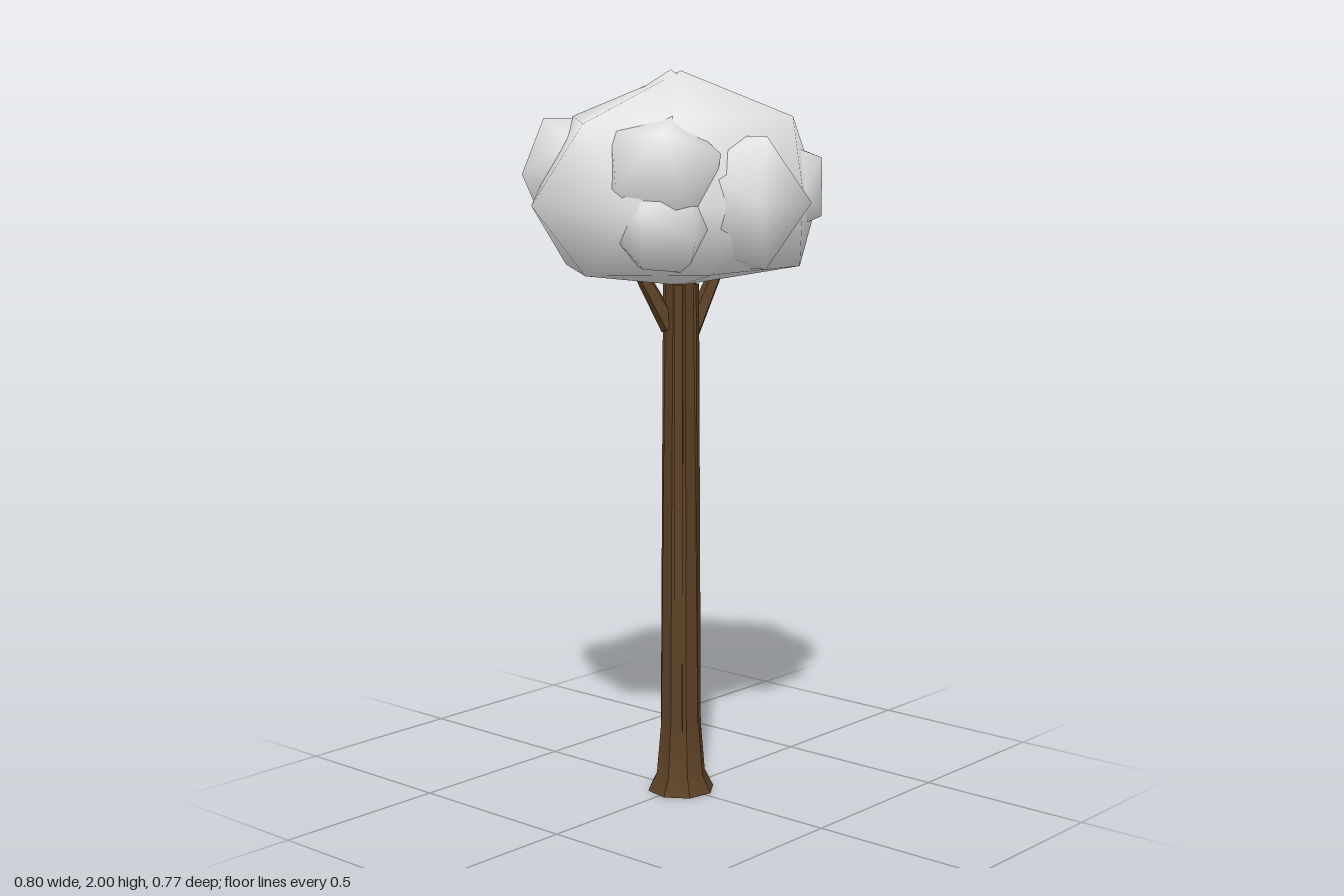
import * as THREE from 'three';
import { mergeVertices, toCreasedNormals } from 'three/addons/utils/BufferGeometryUtils.js';
import { ConvexGeometry } from 'three/addons/geometries/ConvexGeometry.js';

const leaf = new THREE.MeshStandardMaterial({ name: 'pale leaf', color: 0xe9e9e9 });
const bark = new THREE.MeshStandardMaterial({ name: 'bark brown', color: 0x5c4025, side: THREE.DoubleSide });
const chip = new THREE.MeshStandardMaterial({ name: 'chip grey', color: 0xc0d0d6 });

// Weld the corners so that the coarse faces shade smoothly
function smooth(geometry) {
  geometry.deleteAttribute('normal');
  geometry.deleteAttribute('uv');
  const welded = mergeVertices(geometry, 1e-4);
  welded.computeVertexNormals();
  return welded;
}

function add(group, name, geometry, material) {
  const mesh = new THREE.Mesh(geometry, material);
  mesh.name = name;
  group.add(mesh);
  return mesh;
}

export function createModel() {
  const tree = new THREE.Group();
  tree.name = 'tree';

  // Trunk: eight-sided, flared at the foot and open underneath
  const profile = [[0.095, 0], [0.07, 0.05], [0.057, 0.2], [0.051, 0.8], [0.043, 1.45]]
    .map(([r, y]) => new THREE.Vector2(r, y));
  add(tree, 'trunk', toCreasedNormals(new THREE.LatheGeometry(profile, 8, 0.2), 0.5), bark);

  // Raised bark ribs running up the trunk
  for (const angle of [0.35, 1.5, 2.7, 3.8, 5.3]) {
    const rib = add(tree, 'barkRib', new THREE.BoxGeometry(0.022, 1.26, 0.012), bark);
    rib.position.set(Math.sin(angle) * 0.046, 0.8, Math.cos(angle) * 0.046);
    rib.rotation.set(-0.006, angle, 0, 'YXZ');
  }

  // Short branches reaching into the crown
  for (const [from, to] of [
    [[0.02, 1.27, 0.005], [0.115, 1.46, 0.03]],
    [[-0.02, 1.31, -0.02], [-0.08, 1.46, -0.075]],
  ]) {
    const a = new THREE.Vector3(...from), b = new THREE.Vector3(...to);
    const limb = toCreasedNormals(new THREE.CylinderGeometry(0.02, 0.028, a.distanceTo(b), 5), 0.5);
    const branch = add(tree, 'branch', limb, bark);
    branch.position.copy(a).lerp(b, 0.5);
    branch.quaternion.setFromUnitVectors(new THREE.Vector3(0, 1, 0), b.sub(a).normalize());
  }

  // Small pale chip on the back of the trunk
  add(tree, 'barkChip', new THREE.BoxGeometry(0.03, 0.012, 0.014), chip).position.set(0, 0.36, -0.054);

  // Crown: coarse rounded mass, flat at both ends of x
  const crownPoints = [
    [0, 2, 0], [0, 1.425, 0],
    [0.36, 1.87, 0], [-0.38, 1.865, 0], [0.355, 1.475, 0], [-0.375, 1.475, 0],
    [0.39, 1.65, -0.19], [0.375, 1.66, 0.18], [-0.39, 1.65, -0.18], [-0.39, 1.65, 0.18],
    [0.1, 1.68, 0.34], [-0.12, 1.66, 0.33], [-0.02, 1.7, -0.34], [0.2, 1.65, -0.29], [-0.22, 1.65, -0.29],
    [0.25, 1.865, -0.22], [-0.19, 1.88, -0.22], [0.18, 1.88, 0.24], [-0.22, 1.875, 0.22],
    [0.18, 1.48, -0.27], [-0.19, 1.48, -0.25], [0.19, 1.48, 0.26], [-0.18, 1.48, 0.26],
  ].map((p) => new THREE.Vector3(...p));
  add(tree, 'crown', smooth(new ConvexGeometry(crownPoints)), leaf);

  // Twenty-sided leaf clumps sunk in the crown: centre, radius, rotation
  const edgeOut = Math.PI / 2;
  for (const [centre, radius, rotation] of [
    [[-0.03, 1.815, -0.01], 0.188, [-1.017, 0.3, 0]],
    [[-0.245, 1.735, 0.145], 0.17, [0.2, 0.6, 0.3]],
    [[-0.26, 1.61, 0.16], 0.145, [0.5, 0.9, 0]],
    [[-0.03, 1.66, 0.215], 0.202, [0, 0, edgeOut]],
    [[-0.2, 1.73, -0.195], 0.17, [0, 0.75, edgeOut]],
    [[0.045, 1.65, -0.215], 0.202, [0, 0, edgeOut]],
    [[0.185, 1.76, -0.175], 0.145, [0.3, -0.7, 0]],
    [[0.185, 1.69, 0.175], 0.15, [0, 0.7, 0]],
  ]) {
    const clump = add(tree, 'leafClump', smooth(new THREE.IcosahedronGeometry(radius, 0)), leaf);
    clump.position.set(...centre);
    clump.rotation.set(...rotation, 'YXZ');
  }
  return tree;
}
